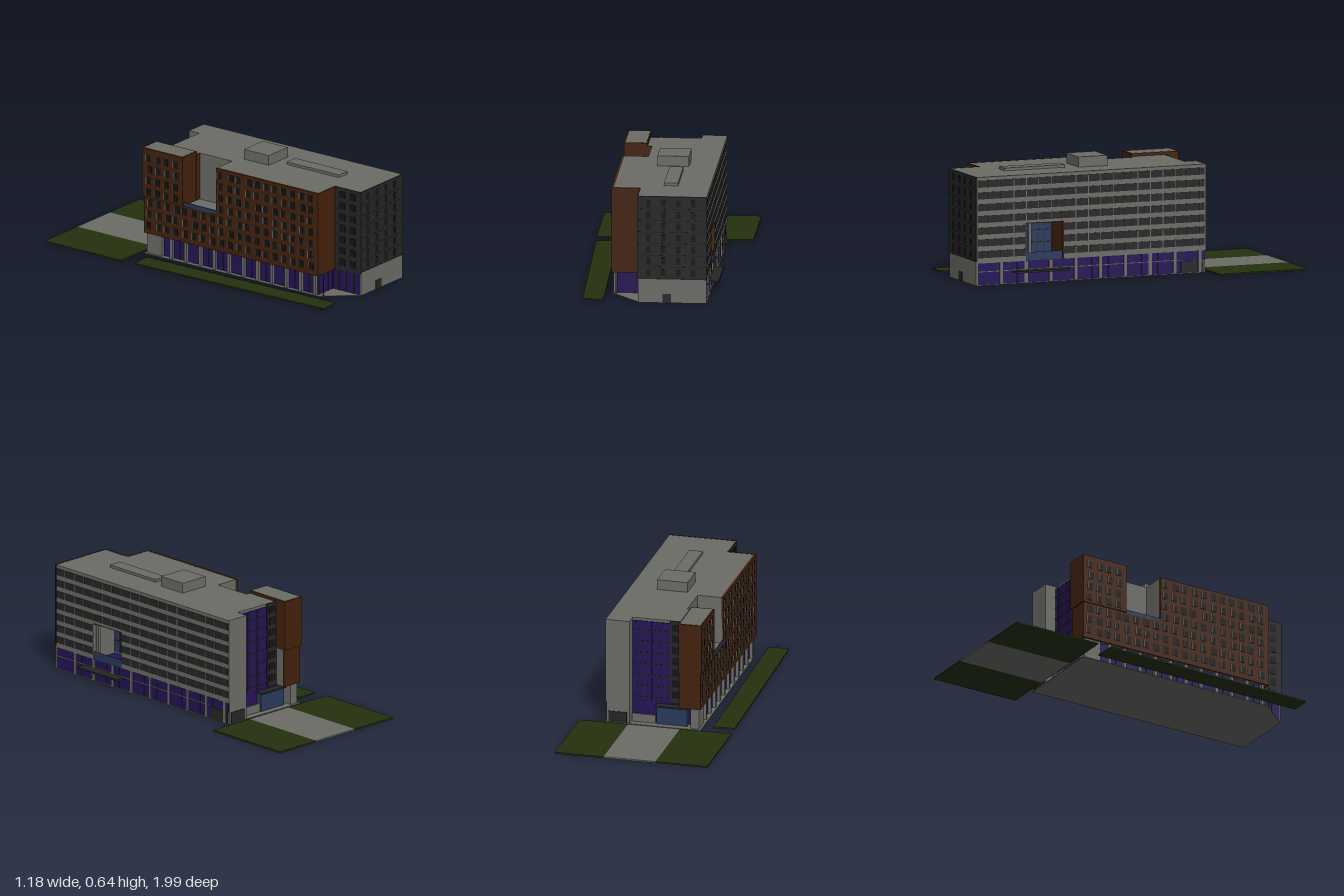
import * as THREE from 'three';

const mat = (name, color, extra = {}) => Object.assign(new THREE.MeshStandardMaterial({ color, ...extra }), { name });

export function createModel() {
  const concrete = mat('concrete', 0x6c6c67);
  const charcoal = mat('charcoal', 0x262626);
  const black = mat('black glazing', 0x151515);
  const brick = mat('brown brick', 0x44220d);
  const violet = mat('violet glass', 0x25135a);
  const blue = mat('blue glass', 0x2a3a5c);
  const lawn = mat('lawn', 0x25310f);

  const model = new THREE.Group();
  model.name = 'officeBuilding';
  // The whole site is laid out square, then turned
  const site = new THREE.Group();
  site.name = 'site';
  site.rotation.y = 0.2735;
  model.add(site);

  // Box from its extents in x, y and z
  const box = (name, m, x0, x1, y0, y1, z0, z1) => {
    const mesh = new THREE.Mesh(new THREE.BoxGeometry(x1 - x0, y1 - y0, z1 - z0), m);
    mesh.position.set((x0 + x1) / 2, (y0 + y1) / 2, (z0 + z1) / 2);
    mesh.name = name;
    site.add(mesh);
    return mesh;
  };
  // Upright prism from a plan of [x, z] corners
  const prism = (name, m, plan, y0, y1) => {
    const shape = new THREE.Shape(plan.map(([x, z]) => new THREE.Vector2(x, -z)));
    const geo = new THREE.ExtrudeGeometry(shape, { depth: y1 - y0, bevelEnabled: false });
    geo.rotateX(-Math.PI / 2).translate(0, y0, 0);
    const mesh = new THREE.Mesh(geo, m);
    mesh.name = name;
    site.add(mesh);
  };

  const E = 0.342, W = -0.176, N = -0.368, S = 0.96; // outer walls
  const STEP_X = -0.027, STEP_Z = 0.789; // front left setback
  const TOP = 0.585, MID = 0.325, LOW = 0.12;
  const rows = Array.from({ length: 7 }, (_, i) => 0.167 + i * 0.0635);

  // Grounds
  box('leftLawn', lawn, 0.211, 0.48, 0, 0.008, -0.902, -0.39);
  box('forecourtPath', concrete, -0.075, 0.211, 0, 0.008, -0.902, -0.39);
  box('rightLawn', lawn, -0.36, -0.075, 0, 0.008, -0.902, -0.39);
  prism('sideLawn', lawn, [[-0.355, -0.307], [-0.238, -0.314], [-0.213, 0.935], [-0.325, 0.938]], 0, 0.008);
  prism('floorSlab', concrete, [[-0.184, -0.374], [E, -0.368], [E, S], [STEP_X, S], [-0.175, STEP_Z]], 0, 0.004);

  // Main mass: lower layer with a side loggia, upper layer with a roof terrace notch
  const backEdge = [[W, N], [-0.065, N], [-0.065, -0.3], [0.21, -0.3], [0.21, N], [E, N]];
  const frontEdge = [[E, S], [STEP_X, S], [STEP_X, STEP_Z], [W, STEP_Z]];
  prism('lowerStoreys', concrete,
    [...backEdge, [E, 0.454], [0.18, 0.454], [0.18, 0.672], [E, 0.672], ...frontEdge], LOW, MID);
  prism('upperStoreys', concrete,
    [...backEdge, ...frontEdge, [W, 0.11], [-0.04, 0.11], [-0.04, -0.11], [W, -0.11]], MID, TOP);
  box('roofPlant', concrete, 0.024, 0.193, TOP, 0.64, 0.14, 0.306);
  box('roofDuct', concrete, 0.094, 0.169, TOP, 0.6, 0.374, 0.724);

  // Ground floor glazing and walls
  prism('groundGlazing', violet,
    [[-0.155, -0.3], [0.336, -0.3], [0.336, 0.955], [STEP_X, 0.955], [STEP_X, 0.775], [-0.155, 0.775]], 0.004, LOW);
  box('endWallBase', concrete, STEP_X, E, 0, 0.13, 0.952, S + 0.001);
  box('endDoor', charcoal, 0.105, 0.152, 0.002, 0.05, S, S + 0.004);
  box('cornerPier', concrete, -0.172, -0.125, 0, LOW, -0.36, -0.26);
  box('backWallBase', concrete, 0.21, 0.336, 0, LOW, -0.366, -0.299);
  box('backDoor', charcoal, 0.225, 0.325, 0.004, 0.065, -0.37, -0.364);
  box('sideDoor', charcoal, 0.334, 0.34, 0.004, 0.065, -0.355, -0.225);
  box('sideDoorGlass', violet, 0.334, 0.339, 0.068, LOW, -0.362, -0.29);
  box('groundRail', concrete, 0.334, 0.339, 0.072, 0.076, -0.225, 0.955);
  for (let i = 0; i < 9; i++) {
    const z = 0.815 - i * 0.1435;
    box('leftColumn', concrete, 0.33, E, 0, LOW, z - 0.009, z + 0.009);
    if (i < 8) for (const k of [1 / 3, 2 / 3])
      box('leftMullion', charcoal, 0.334, 0.338, 0.004, LOW, z - 0.1435 * k - 0.002, z - 0.1435 * k + 0.002);
  }
  for (let i = 0; i < 11; i++) {
    const z = -0.2 + i * 0.096;
    box('rightColumn', concrete, -0.172, -0.152, 0, LOW, z - 0.009, z + 0.009);
    box('rightMullion', charcoal, -0.158, -0.153, 0.004, LOW, z + 0.046, z + 0.05);
  }
  for (const x of [-0.152, -0.11, -0.068, -0.03])
    box('frontMullion', charcoal, x - 0.002, x + 0.002, 0.004, LOW, 0.773, 0.779);
  for (const z of [0.81, 0.86, 0.91])
    box('setbackMullion', charcoal, -0.031, -0.025, 0.004, LOW, z - 0.005, z + 0.005);

  // Left facade: window bands with mullions, interrupted by the loggia
  for (const y of rows) {
    const spans = y < MID ? [[-0.36, 0.454], [0.672, 0.952]] : [[-0.36, 0.952]];
    for (const [z0, z1] of spans) {
      box('windowBand', charcoal, E - 0.002, E + 0.002, y - 0.019, y + 0.019, z0, z1);
      for (let z = -0.333; z < z1; z += 0.0718)
        if (z > z0) box('bandMullion', concrete, E - 0.002, E + 0.004, y - 0.019, y + 0.019, z - 0.002, z + 0.002);
    }
  }

  // Loggia
  box('loggiaGlass', blue, 0.178, 0.185, 0.13, MID, 0.456, 0.67);
  box('loggiaBrickWall', brick, 0.182, E, 0.13, MID, 0.452, 0.459);
  box('loggiaCeiling', brick, 0.182, E, MID - 0.005, MID + 0.001, 0.456, 0.67);
  for (let i = 1; i < 5; i++)
    box('loggiaMullion', charcoal, 0.183, 0.188, 0.13, MID, 0.455 + i * 0.043, 0.458 + i * 0.043);
  for (const y of [0.195, 0.26])
    box('loggiaTransom', charcoal, 0.183, 0.188, y - 0.002, y + 0.002, 0.459, 0.67);
  box('loggiaPost', concrete, 0.32, 0.336, LOW, MID, 0.64, 0.656);
  box('loggiaRailing', blue, 0.334, 0.338, LOW, 0.165, 0.46, 0.67);
  box('sideCanopy', charcoal, 0.335, 0.39, 0.062, 0.072, 0.44, 0.747);

  // Charcoal front end with narrow windows
  box('endCladding', charcoal, STEP_X - 0.004, E + 0.002, 0.13, TOP + 0.001, 0.956, S + 0.004);
  box('setbackCladding', charcoal, STEP_X - 0.004, STEP_X + 0.003, LOW, TOP + 0.001, STEP_Z, S);
  for (const y of rows) {
    for (const x of [0.03, 0.11, 0.19, 0.27])
      box('endWindow', black, x - 0.012, x + 0.012, y - 0.019, y + 0.019, S, S + 0.006);
    box('endSeam', black, STEP_X, E, y - 0.033, y - 0.031, S, S + 0.005);
    for (const z of [0.84, 0.91])
      box('setbackWindow', black, STEP_X - 0.007, STEP_X, y - 0.019, y + 0.019, z - 0.018, z + 0.018);
  }

  // Brown brick cladding
  box('lowerBrickFacade', brick, -0.183, -0.17, LOW - 0.001, MID, -0.373, STEP_Z + 0.004);
  box('upperBrickFacade', brick, -0.183, -0.17, MID, TOP + 0.001, 0.11, STEP_Z + 0.004);
  box('frontBrickWall', brick, -0.183, STEP_X - 0.004, LOW - 0.001, TOP + 0.001, STEP_Z - 0.004, STEP_Z + 0.004);
  box('lowerTowerBack', brick, -0.183, -0.064, LOW - 0.001, MID, -0.373, -0.362);
  box('brickTower', brick, -0.19, -0.063, MID, 0.6, -0.379, -0.108);
  box('towerRoof', concrete, -0.182, -0.07, 0.597, 0.601, -0.371, -0.116);
  box('terraceBrickWall', brick, -0.07, -0.04, MID, TOP, -0.112, -0.107);

  // Irregular slot windows, each with a pale reveal
  let seed = 7;
  const rand = () => (seed = (seed * 16807) % 2147483647) / 2147483647;
  rows.forEach((y) => {
    for (let i = 0; i < 19; i++) {
      const z = -0.335 + i * 0.06 + (rand() - 0.5) * 0.016;
      const high = y > MID;
      if (high && z > -0.145 && z < 0.135) continue;
      const face = high && z < 0 ? -0.19 : -0.183;
      box('slotWindow', black, face - 0.002, face + 0.002, y - 0.019, y + 0.019, z - 0.014, z + 0.014);
      box('windowReveal', concrete, face - 0.006, face + 0.002, y - 0.019, y + 0.019, z - 0.018, z - 0.013);
    }
  });

  // Roof terrace railing
  box('terraceRailing', blue, -0.182, -0.176, MID, 0.345, -0.108, 0.11);

  // Recessed back entrance
  box('backGlazing', violet, 0, 0.21, LOW, 0.57, -0.305, -0.298);
  box('backDarkBay', charcoal, -0.065, 0, LOW, TOP + 0.001, -0.312, -0.298);
  for (const x of [0.035, 0.07, 0.105, 0.14, 0.175])
    box('backMullion', charcoal, x - 0.002, x + 0.002, LOW, 0.57, -0.308, -0.3);
  for (const y of rows) {
    box('backTransom', charcoal, 0, 0.21, y - 0.032, y - 0.026, -0.308, -0.3);
    box('darkBayWindow', black, -0.055, -0.01, y - 0.019, y + 0.019, -0.314, -0.31);
  }
  box('lobby', blue, -0.1, 0.07, 0.004, 0.1, -0.335, -0.295);
  box('lobbyCanopy', charcoal, -0.105, 0.075, 0.1, 0.108, -0.345, -0.295);
  box('entranceWall', concrete, 0.075, 0.205, 0.004, 0.05, -0.33, -0.32);

  return model;
}
